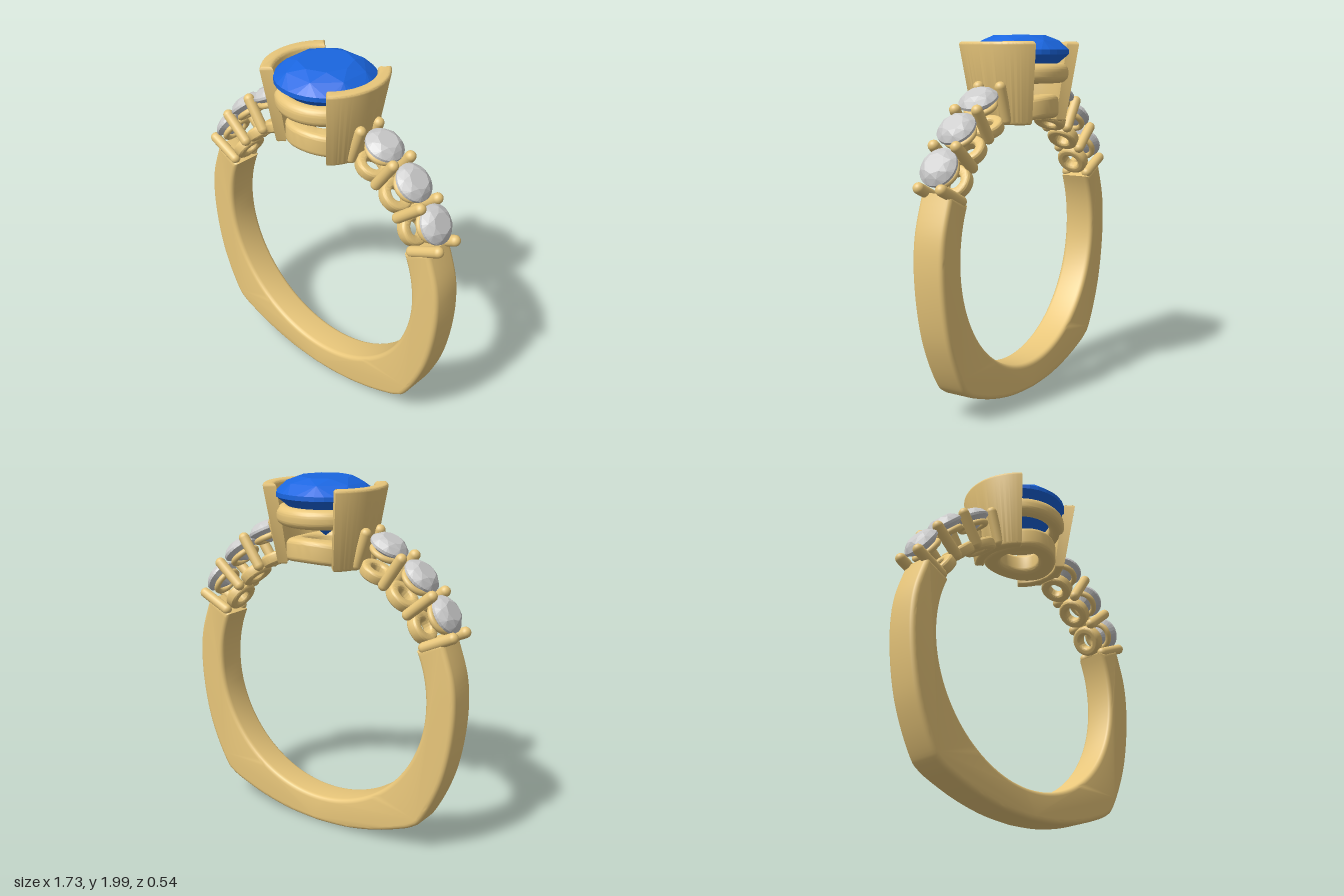
import * as THREE from 'three';
import { toCreasedNormals } from 'three/addons/utils/BufferGeometryUtils.js';
import { ConvexGeometry } from 'three/addons/geometries/ConvexGeometry.js';

const CY = 0.865;   // height of the finger hole centre
const R_IN = 0.695; // finger hole radius
const rad = THREE.MathUtils.degToRad;

const gold = new THREE.MeshStandardMaterial({ color: 0xe8c67a });
const blue = new THREE.MeshStandardMaterial({ color: 0x1a66e0, flatShading: true });
const grey = new THREE.MeshStandardMaterial({ color: 0xcccccc, flatShading: true });

function add(parent, name, geometry, material = gold) {
  const mesh = new THREE.Mesh(geometry, material);
  mesh.name = name;
  parent.add(mesh);
  return mesh;
}

// Round brilliant cut, girdle centred on y = 0
function brilliant(r, crown, pavilion, girdle) {
  const pts = [];
  const ring = (n, radius, y, turn = 0) => {
    for (let i = 0; i < n; i++) {
      const a = ((i + turn) / n) * Math.PI * 2;
      pts.push(new THREE.Vector3(Math.cos(a) * radius, y, Math.sin(a) * radius));
    }
  };
  ring(8, r * 0.54, crown);
  ring(8, r * 0.8, crown * 0.68, 0.5);
  ring(32, r, girdle);
  ring(32, r, -girdle);
  ring(8, r * 0.45, -girdle - (pavilion - girdle) * 0.57, 0.5);
  pts.push(new THREE.Vector3(0, -pavilion, 0));
  return new ConvexGeometry(pts);
}

// Ring with rounded-rectangle section, around the y axis
function roundedRing(rIn, rOut, y0, y1, bevel) {
  const s = new THREE.Shape();
  s.moveTo(rIn + bevel, y0);
  s.lineTo(rOut - bevel, y0);
  s.absarc(rOut - bevel, y0 + bevel, bevel, -Math.PI / 2, 0);
  s.absarc(rOut - bevel, y1 - bevel, bevel, 0, Math.PI / 2);
  s.absarc(rIn + bevel, y1 - bevel, bevel, Math.PI / 2, Math.PI);
  s.absarc(rIn + bevel, y0 + bevel, bevel, Math.PI, Math.PI * 1.5);
  return toCreasedNormals(new THREE.LatheGeometry(s.getPoints(6), 48), 0.6);
}

// Shank with flared flat-bottomed corners, open at the top
function shankGeometry() {
  const end = rad(25);
  const v = (x, y) => new THREE.Vector2(x, y);
  const side = new THREE.SplineCurve([
    v(0.865 * Math.cos(end), CY + 0.865 * Math.sin(end)), v(0.848, 1.04), v(0.866, 0.87),
    v(0.853, 0.68), v(0.815, 0.49), v(0.755, 0.33), v(0.685, 0.2), v(0.64, 0.158),
    v(0.57, 0.123), v(0.4, 0.064), v(0.2, 0.022), v(0, 0.008),
  ]).getPoints(60);
  const mirrored = side.slice(0, -1).reverse().map((p) => v(-p.x, p.y));
  const inner = [];
  for (let i = 0; i <= 80; i++) {
    const a = Math.PI - end + (i / 80) * (Math.PI + 2 * end);
    inner.push(v(Math.cos(a) * R_IN, CY + Math.sin(a) * R_IN));
  }
  const b = 0.025;
  const geo = new THREE.ExtrudeGeometry(new THREE.Shape([...side, ...mirrored, ...inner]), {
    depth: 0.186 - 2 * b, bevelEnabled: true, bevelSize: b, bevelOffset: -b,
    bevelThickness: b, bevelSegments: 4,
  });
  geo.translate(0, 0, -0.093 + b);
  return toCreasedNormals(geo, 0.7);
}

// Curved wall of the half bezel, tapering towards the finger
function bezelGeometry() {
  const y0 = 1.53, y1 = 1.965, b = 0.018, half = rad(46);
  const s = new THREE.Shape();
  s.absarc(0, 0, 0.337, -half, half, false);
  s.absarc(0, 0, 0.267, half, -half, true);
  s.closePath();
  const geo = new THREE.ExtrudeGeometry(s, {
    depth: y1 - y0 - 2 * b, curveSegments: 32, bevelEnabled: true, bevelSize: b,
    bevelOffset: -b, bevelThickness: b, bevelSegments: 4,
  });
  geo.translate(0, 0, y0 + b).rotateX(-Math.PI / 2);
  const p = geo.attributes.position;
  for (let i = 0; i < p.count; i++) {
    const k = THREE.MathUtils.mapLinear(p.getY(i), y0, y1, 0.77, 1);
    p.setX(i, p.getX(i) * k);
    p.setZ(i, p.getZ(i) * k);
  }
  return toCreasedNormals(geo, 0.6);
}

export function createModel() {
  const model = new THREE.Group();
  model.name = 'ring';
  add(model, 'shank', shankGeometry());

  // Centre setting
  const head = new THREE.Group();
  head.name = 'centreSetting';
  model.add(head);
  const bezel = bezelGeometry();
  add(head, 'leftBezel', bezel);
  add(head, 'rightBezel', bezel).rotation.y = Math.PI;
  add(head, 'upperGallery', roundedRing(0.175, 0.265, 1.745, 1.85, 0.044));
  const lower = roundedRing(0.11, 0.212, 1.56, 1.685, 0.03);
  // Arch the underside to follow the finger hole
  const lp = lower.attributes.position;
  for (let i = 0; i < lp.count; i++) {
    const x = lp.getX(i);
    lp.setY(i, lp.getY(i) + Math.sqrt(R_IN * R_IN - x * x) - R_IN);
  }
  add(head, 'lowerGallery', lower);
  add(head, 'centreStone', brilliant(0.268, 0.09, 0.23, 0.012), blue).position.y = 1.91;

  // Shoulders: stones in seats, with pairs of prongs between them
  const stone = brilliant(0.105, 0.047, 0.075, 0.007);
  const seat = roundedRing(0.04, 0.092, R_IN + 0.005, 0.765, 0.018);
  const collar = new THREE.TorusGeometry(0.075, 0.017, 12, 40).rotateX(Math.PI / 2);
  const prong = new THREE.CapsuleGeometry(0.03, 0.18, 8, 16);
  for (const side of [1, -1]) {
    const shoulder = new THREE.Group();
    shoulder.name = side > 0 ? 'leftShoulder' : 'rightShoulder';
    model.add(shoulder);
    // Group at the hole centre whose y axis points outwards
    const spoke = (name, deg) => {
      const g = new THREE.Group();
      g.name = name;
      g.position.y = CY;
      g.rotation.z = -side * rad(90 - deg);
      shoulder.add(g);
      return g;
    };
    for (const deg of [33, 48, 63.2]) {
      const g = spoke('sideSetting', deg);
      add(g, 'seat', seat);
      add(g, 'collar', collar).position.y = 0.855;
      add(g, 'sideStone', stone, grey).position.y = 0.9;
    }
    for (const deg of [25.3, 40, 55.6, 70.7]) {
      const g = spoke('prongPair', deg);
      for (const z of [-0.068, 0.068]) add(g, 'prong', prong).position.set(0, 0.827, z);
    }
  }
  return model;
}
